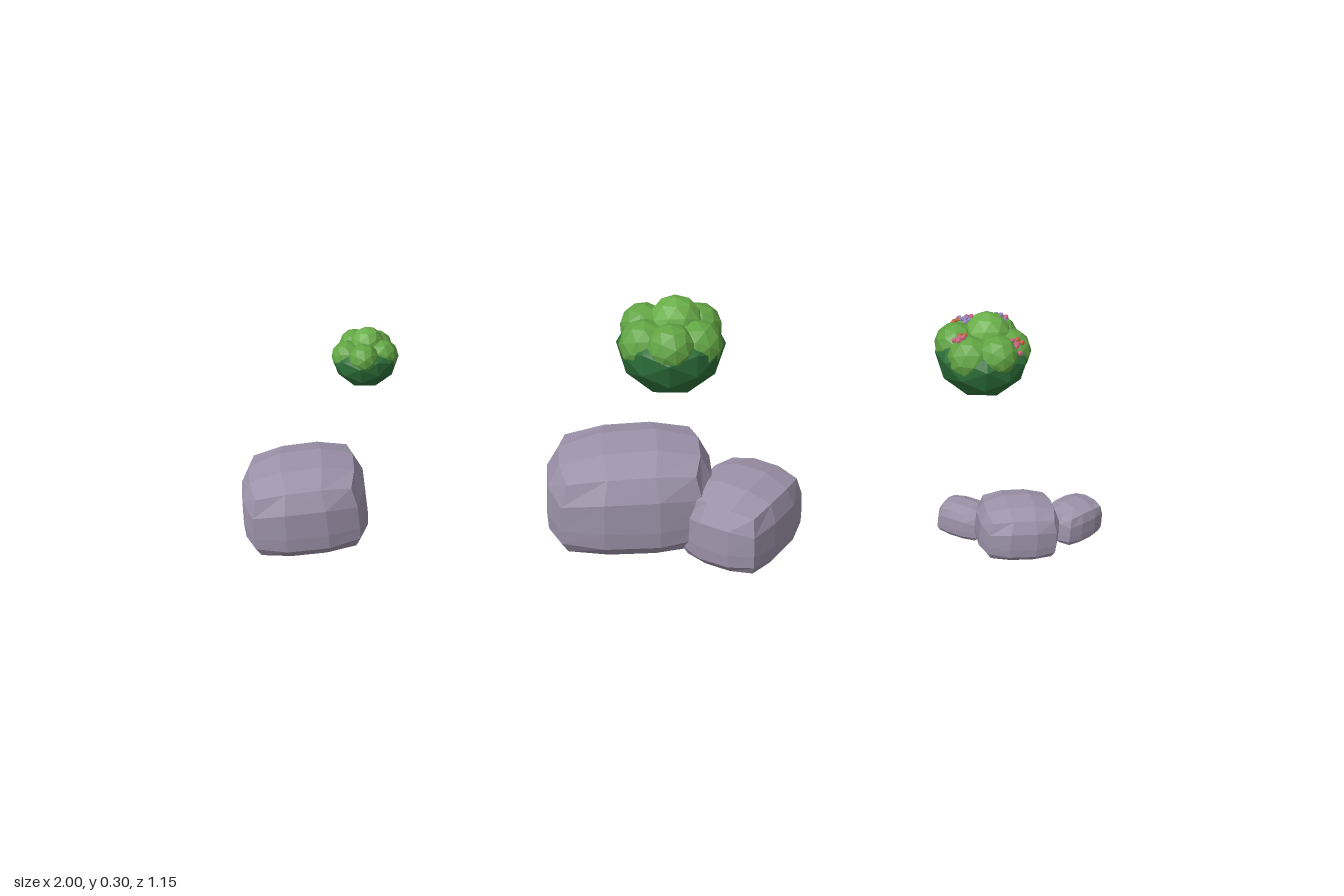
import * as THREE from 'three';

const mat = (name, color) => {
  const m = new THREE.MeshStandardMaterial({ color });
  m.name = name;
  return m;
};

// Bend the vertices by a rule, then give every face its own flat normal
function facet(geometry, rule) {
  const p = geometry.attributes.position, v = new THREE.Vector3();
  for (let i = 0; i < p.count; i++) {
    rule(v.fromBufferAttribute(p, i));
    p.setXYZ(i, v.x, v.y, v.z);
  }
  const g = geometry.index ? geometry.toNonIndexed() : geometry;
  g.computeVertexNormals();
  return g;
}

// Boulder: a cube rounded towards a superellipsoid, with a low waist and flat base
function rockGeometry(hx, hz, height, tilt) {
  return facet(new THREE.BoxGeometry(2, 2, 2, 3, 4, 3), v => {
    const k = (Math.abs(v.x) ** 4 + Math.abs(v.y) ** 4 + Math.abs(v.z) ** 4) ** -0.25;
    v.multiplyScalar(k * 1.02);
    const y = v.y > 0 ? 0.3 + v.y * 0.68 : 0.3 * (1 - Math.min(1, -v.y / 0.84));
    v.set(v.x * hx, height * (y + Math.max(0, v.y) * v.x * tilt), v.z * hz);
  });
}

export function createModel() {
  const model = new THREE.Group();
  const stone = mat('stone', 0x9d93aa);
  const darkLeaf = mat('dark leaf', 0x2c6e38);
  const leaf = mat('leaf', 0x62a544);
  const lightLeaf = mat('light leaf', 0x6bb04a);
  const petals = [mat('pink petal', 0xc8627f), mat('violet petal', 0x9380b8), mat('orange petal', 0xc0603c)];

  const add = (parent, name, geometry, material, x, y, z) => {
    const m = new THREE.Mesh(geometry, material);
    m.name = name;
    m.position.set(x, y, z);
    parent.add(m);
    return m;
  };

  // Rocks: x, base y, z, half width, half depth, height, turn, tilt
  const rocks = [
    ['leftRock', -0.85, 0.06, 0.395, 0.138, 0.132, 0.185, 0.22, 0.03],
    ['bigRock', -0.1, 0.075, 0.38, 0.187, 0.15, 0.222, 0.09, 0.04],
    ['middleRock', 0.16, 0.057, 0.43, 0.108, 0.134, 0.18, -0.5, -0.03],
    ['lowRock', 0.793, 0.04, 0.385, 0.09, 0.083, 0.115, 0.08, 0.02],
    ['pebbleRight', 0.683, 0.027, 0.305, 0.058, 0.046, 0.073, -0.55, 0],
    ['pebbleLeft', 0.934, 0.027, 0.313, 0.064, 0.048, 0.085, 0.7, 0],
  ];
  for (const [name, x, y, z, hx, hz, h, turn, tilt] of rocks)
    add(model, name, rockGeometry(hx, hz, h, tilt), stone, x, y, z).rotation.y = turn;

  // Bush: dark bowl of leaves, a ring of lumps and a crown; returns the lumps
  function bush(name, x, z, size, lumps, turn) {
    const group = new THREE.Group();
    group.name = name;
    group.position.set(x, 0, z);
    model.add(group);
    const base = facet(new THREE.IcosahedronGeometry(0.146 * size, 1), v => {
      v.y *= v.y > 0 ? 0.45 : 0.95;
    });
    add(group, 'lowerLeaves', base, darkLeaf, 0, 0.138 * size, 0);
    const balls = [];
    const ball = (part, material, bx, by, bz, r) => {
      const g = facet(new THREE.IcosahedronGeometry(r * size, 1), v => v);
      const m = add(group, part, g, material, bx * size, by * size, bz * size);
      m.rotation.y = balls.length * 0.8;
      balls.push({ p: m.position, r: r * size });
    };
    for (let i = 0; i < lumps; i++) {
      const a = turn + (i / lumps) * Math.PI * 2;
      const ring = 0.079 + 0.004 * (i % 2);
      ball('leafLump', leaf, Math.cos(a) * ring, 0.15 + 0.014 * (i % 2), Math.sin(a) * ring, 0.07 - 0.004 * (i % 2));
    }
    ball('crownLump', lightLeaf, 0.012, 0.192, -0.012, 0.073);
    return { group, balls };
  }

  bush('middleBush', -0.028, -0.43, 1, 6, 0.5);
  bush('smallBush', -0.847, -0.438, 0.61, 5, 0.2);
  const flowering = bush('floweringBush', 0.797, -0.432, 0.86, 6, 0.1);

  // Flower clusters resting on the lumps of the right-hand bush: x, z, main colour
  const clusters = [[-0.067, 0.042, 0], [0.05, -0.05, 1], [-0.07, -0.08, 2], [0.083, 0.05, 0], [-0.04, -0.06, 1]];
  const bud = facet(new THREE.IcosahedronGeometry(0.008, 0), v => v);
  for (const [cx, cz, colour] of clusters) {
    for (let i = 0; i < 7; i++) {
      const a = i * 2.4, s = 0.007 * Math.sqrt(i);
      const x = cx + Math.cos(a) * s, z = cz + Math.sin(a) * s;
      let y = 0.13;
      for (const { p, r } of flowering.balls) {
        const d = r * r - (x - p.x) ** 2 - (z - p.z) ** 2;
        if (d > 0) y = Math.max(y, p.y + Math.sqrt(d));
      }
      add(flowering.group, 'flower', bud, petals[i % 3 === 2 ? (colour + 2) % 3 : colour], x, y, z);
    }
  }
  return model;
}
